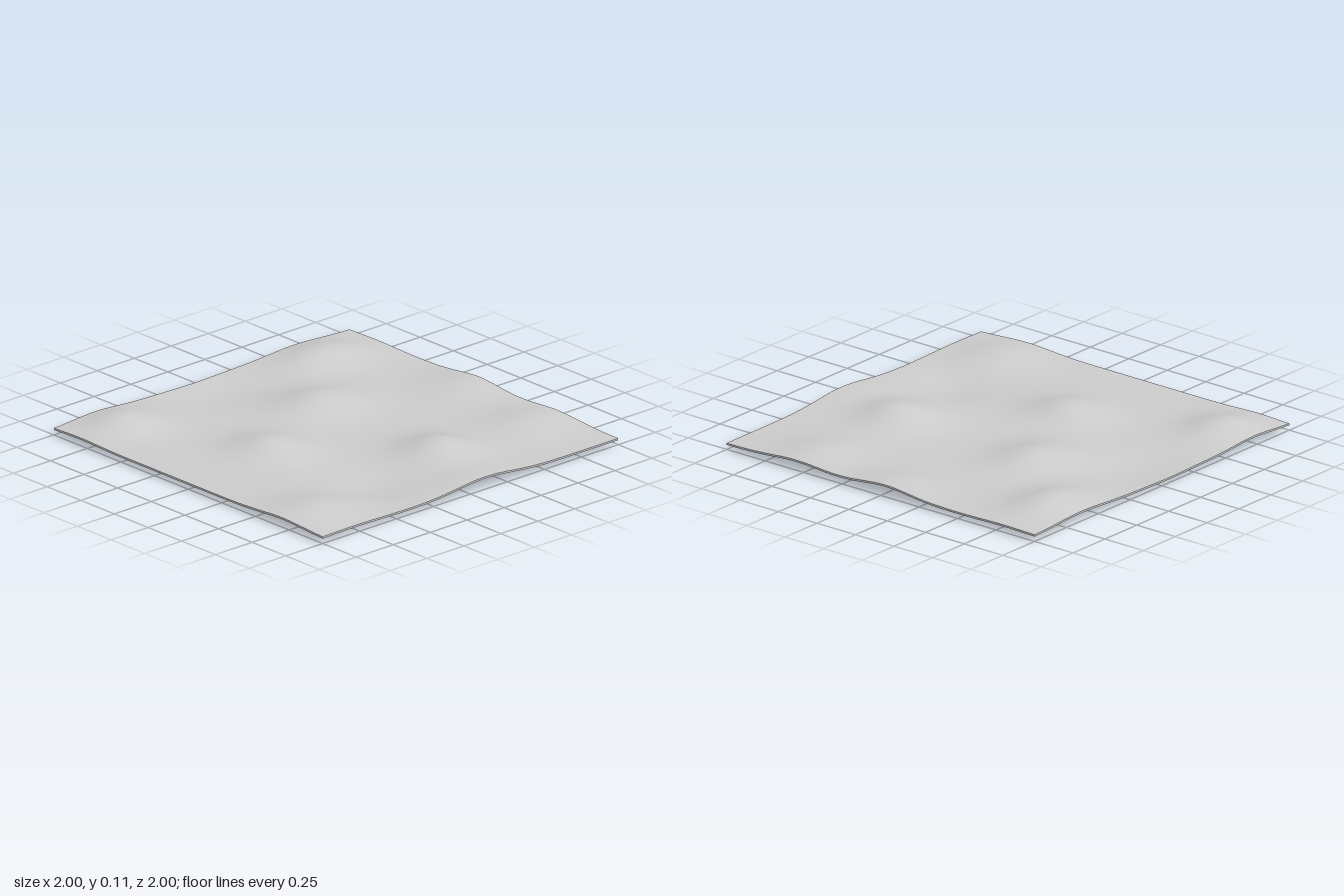
import * as THREE from 'three';

const THICKNESS = 0.01;
const BASE = 0.03; // middle of the sheet where it is level

// Mounds and hollows: centre x, centre z, height, spread in x, spread in z
const BUMPS = [
  [0.2, 0.55, 0.078, 0.14, 0.15],
  [0.2, -0.34, 0.06, 0.16, 0.145],
  [-0.4, -0.06, 0.063, 0.13, 0.15],
  [-0.72, -0.8, 0.06, 0.14, 0.13],
  [0.63, -0.8, 0.06, 0.17, 0.13],
  [-0.79, 0.7, 0.04, 0.16, 0.15],
  [0.82, 0.55, 0.036, 0.17, 0.15],
  [0.93, -0.03, 0.033, 0.15, 0.15],
  [0.1, 0.97, 0.033, 0.18, 0.15],
  [-0.35, 0.64, -0.025, 0.13, 0.15],
  [-0.06, -0.8, -0.018, 0.16, 0.14],
];

function heightAt(x, z) {
  return BUMPS.reduce((sum, [cx, cz, h, sx, sz]) =>
    sum + h * Math.exp(-0.5 * (((x - cx) / sx) ** 2 + ((z - cz) / sz) ** 2)), BASE);
}

export function createModel() {
  const group = new THREE.Group();
  group.name = 'terrain';

  // Thin square slab whose top and underside follow the same rolling relief
  const geometry = new THREE.BoxGeometry(2, THICKNESS, 2, 100, 1, 100);
  const pos = geometry.attributes.position;
  for (let i = 0; i < pos.count; i++) {
    pos.setY(i, pos.getY(i) + heightAt(pos.getX(i), pos.getZ(i)));
  }
  geometry.computeVertexNormals();

  // Rest the lowest hollow on the ground
  geometry.computeBoundingBox();
  geometry.translate(0, -geometry.boundingBox.min.y, 0);

  const sheet = new THREE.Mesh(geometry, new THREE.MeshStandardMaterial({ color: 0xcccccc }));
  sheet.name = 'rollingGround';
  group.add(sheet);
  return group;
}
